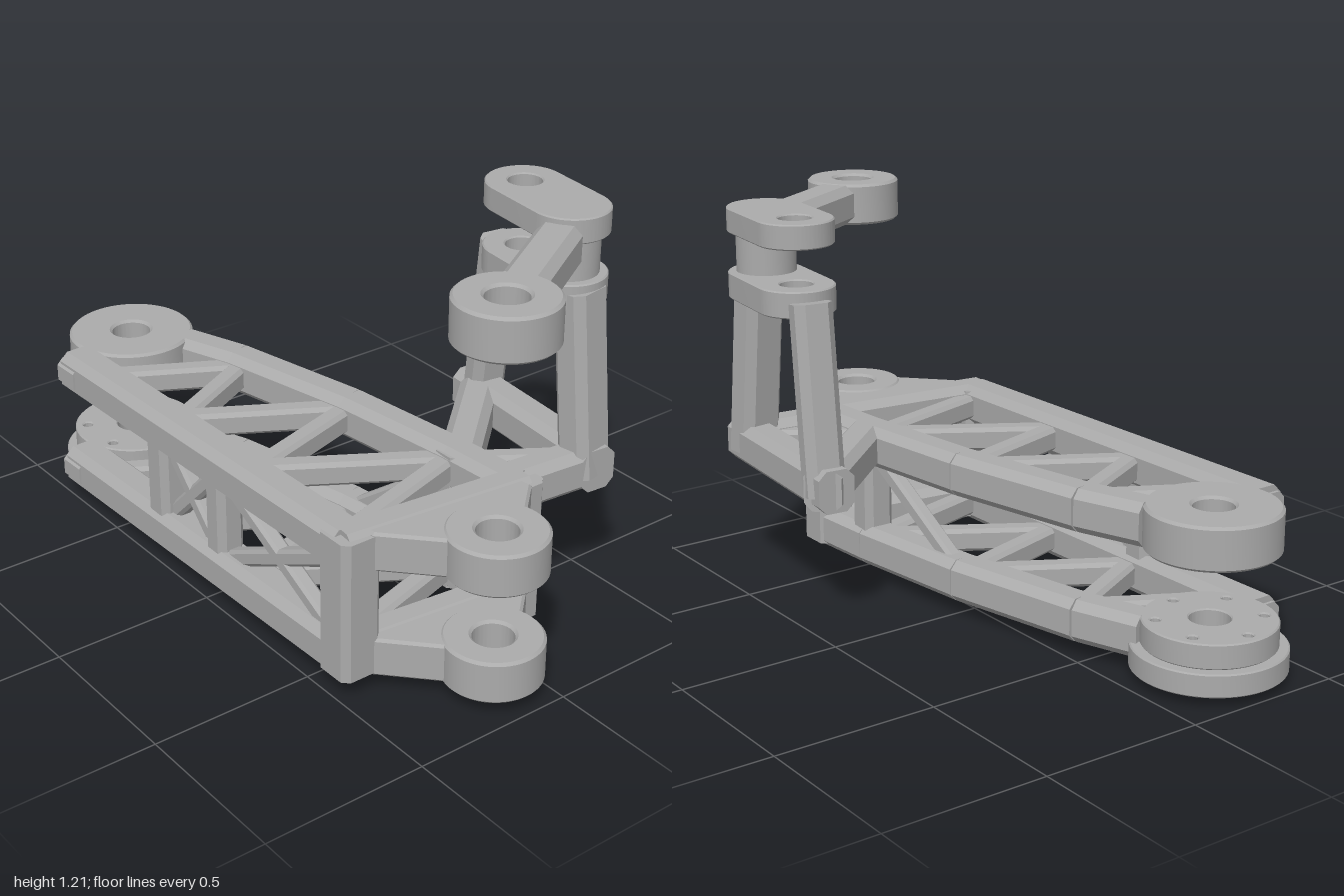
import * as THREE from 'three';
import { toCreasedNormals } from 'three/addons/utils/BufferGeometryUtils.js';

export function createModel() {
  const model = new THREE.Group();
  model.name = 'trussArm';
  const grey = new THREE.MeshStandardMaterial({ color: 0xababab });
  grey.name = 'grey metal';
  const V = (x, y, z) => new THREE.Vector3(x, y, z);

  function add(name, geometry) {
    const mesh = new THREE.Mesh(geometry, grey);
    mesh.name = name;
    model.add(mesh);
    return mesh;
  }

  // Chamfered bar running from a to b
  function bar(name, a, b, w, h, c = 0.02) {
    const x = w / 2, y = h / 2;
    const section = new THREE.Shape([
      [x, c - y], [x, y - c], [x - c, y], [c - x, y],
      [-x, y - c], [-x, c - y], [c - x, -y], [x - c, -y],
    ].map(p => new THREE.Vector2(...p)));
    const geo = new THREE.ExtrudeGeometry(section, { depth: a.distanceTo(b), bevelEnabled: false });
    const mesh = add(name, geo);
    mesh.position.copy(a);
    mesh.lookAt(b);
  }

  // Horizontal plate from an outline in x and z, between two heights
  function plate(name, shape, y0, y1, bevel = 0.008) {
    const geo = new THREE.ExtrudeGeometry(shape, {
      depth: y1 - y0 - 2 * bevel, curveSegments: 32, bevelEnabled: bevel > 0, bevelSegments: 1,
      bevelSize: bevel, bevelThickness: bevel, bevelOffset: -bevel,
    });
    geo.rotateX(Math.PI / 2);
    geo.translate(0, y1 - bevel, 0);
    add(name, toCreasedNormals(geo, 0.5));
  }

  const hole = (x, z, r) => new THREE.Path().absarc(x, z, r, 0, Math.PI * 2, true);
  function disc(x, z, r, holeR) {
    const s = new THREE.Shape().absarc(x, z, r, 0, Math.PI * 2, false);
    if (holeR) s.holes.push(hole(x, z, holeR));
    return s;
  }

  const front = [-0.125, 0.845], back = [-0.245, -0.78];
  const leftLine = [[-0.455, -0.76], [-0.43, 0.6]];
  const rightLine = [[-0.125, -0.65], [-0.055, -0.45], [0.04, 0.0], [0.09, 0.42], [0.105, 0.66]];
  const zigzag = [[-0.4, -0.6], [-0.07, -0.42], [-0.4, -0.25], [0.03, 0.0],
    [-0.4, 0.13], [0.07, 0.42], [-0.4, 0.56]];

  const chain = (name, pts, y, w, h, c) => {
    for (let i = 1; i < pts.length; i++) {
      bar(name, V(pts[i - 1][0], y, pts[i - 1][1]), V(pts[i][0], y, pts[i][1]), w, h, c);
    }
  };

  // Two identical truss decks
  for (const y of [0.11, 0.445]) {
    chain('sideBeam', leftLine, y, 0.125, 0.13, 0.025);
    chain('curvedBeam', rightLine, y, 0.115, 0.13, 0.025);
    chain('latticeBar', zigzag, y, 0.065, 0.075, 0.012);
    bar('frontBeam', V(-0.46, y, 0.6), V(0.13, y, 0.66), 0.11, 0.13, 0.025);
    bar('endCollar', V(-0.457, y, -0.77), V(-0.455, y, -0.68), 0.135, 0.09, 0.02);

    // Front pivot ring and its gusset
    plate('frontRing', disc(...front, 0.145, 0.06), y - 0.065, y + 0.065);
    const gusset = new THREE.Shape([
      [-0.4, 0.62], [0.1, 0.66], [0.11, 0.72], [0, 0.82], [-0.07, 0.75], [-0.18, 0.75], [-0.25, 0.82],
      [-0.4, 0.66],
    ].map(p => new THREE.Vector2(...p)));
    plate('frontGusset', gusset, y - 0.06, y + 0.06);
  }

  // Rear pivot: upper ring, drilled lower boss, flange and foot disc
  plate('rearUpperRing', disc(...back, 0.195, 0.06), 0.38, 0.51);
  const boss = disc(...back, 0.195, 0.06), flange = disc(...back, 0.225, 0.06);
  for (let i = 0; i < 6; i++) {
    const a = (i + 0.5) * Math.PI / 3;
    for (const s of [boss, flange]) {
      s.holes.push(hole(back[0] + 0.155 * Math.cos(a), back[1] + 0.155 * Math.sin(a), 0.015));
    }
  }
  plate('rearLowerBoss', boss, 0.1, 0.175, 0.004);
  plate('rearFlange', flange, 0.03, 0.1, 0.004);
  plate('rearFootDisc', disc(...back, 0.12), 0, 0.035, 0.003);

  // Posts joining the decks
  for (const [x, z, w] of [[-0.43, 0.6, 0.13], [0.105, 0.66, 0.125], [0.085, 0.43, 0.1],
    [-0.44, 0.02, 0.09], [-0.445, -0.27, 0.1]]) {
    bar('post', V(x, 0.06, z), V(x, 0.495, z), w, w, 0.02);
  }

  // Crossed braces between the side posts
  for (const [z0, z1] of [[-0.27, 0.02], [0.02, 0.6]]) {
    bar('crossBrace', V(-0.44, 0.13, z0), V(-0.44, 0.42, z1), 0.05, 0.05, 0.01);
    bar('crossBrace', V(-0.44, 0.42, z0), V(-0.44, 0.13, z1), 0.05, 0.05, 0.01);
  }
  bar('sideBrace', V(0.085, 0.42, 0.42), V(0.04, 0.13, 0.02), 0.05, 0.05, 0.01);

  // Outrigger frame carrying the tower
  const fc = [0.385, 0.64], rc = [0.44, 0.13];
  const y = 0.445;
  bar('outriggerRear', V(0.09, y, 0.44), V(0.47, y, 0.1), 0.115, 0.13, 0.025);
  bar('outriggerFront', V(0.1, y, 0.62), V(0.4, y, 0.645), 0.11, 0.13, 0.025);
  bar('outriggerSide', V(fc[0], y, 0.7), V(rc[0], y, 0.07), 0.115, 0.13, 0.025);
  bar('outriggerBrace', V(0.12, y, 0.46), V(0.36, y, 0.62), 0.06, 0.075, 0.012);

  // Tower legs
  bar('frontLeg', V(0.383, 0.42, 0.645), V(0.375, 0.98, 0.595), 0.14, 0.11, 0.025);
  bar('rearLeg', V(0.445, 0.42, 0.13), V(0.435, 0.98, 0.2), 0.12, 0.09, 0.025);

  // Elbow: two rounded plates with a pin between them
  const p = [0.385, 0.53], q = [0.408, 0.32], r = 0.115;
  const tilt = Math.atan2(q[1] - p[1], q[0] - p[0]);
  for (const [y0, y1] of [[0.93, 1.01], [1.13, 1.205]]) {
    const s = new THREE.Shape();
    s.absarc(...q, r, tilt - Math.PI / 2, tilt + Math.PI / 2, false);
    s.absarc(...p, r, tilt + Math.PI / 2, tilt + Math.PI * 1.5, false);
    s.holes.push(hole(...q, 0.05));
    plate('elbowPlate', s, y0, y1, 0.004);
  }
  const pin = new THREE.CylinderGeometry(0.09, 0.09, 0.14, 32);
  pin.translate(p[0], 1.07, p[1]);
  add('elbowPin', pin);

  // Upper arm and its ring
  bar('upperArm', V(-0.03, 1.125, 0.785), V(0.29, 1.125, 0.59), 0.13, 0.125, 0.025);
  bar('upperArmNeck', V(0.25, 1.115, 0.615), V(0.385, 1.115, 0.53), 0.11, 0.095, 0.02);
  plate('upperRing', disc(...front, 0.145, 0.06), 1.06, 1.19);
  return model;
}
